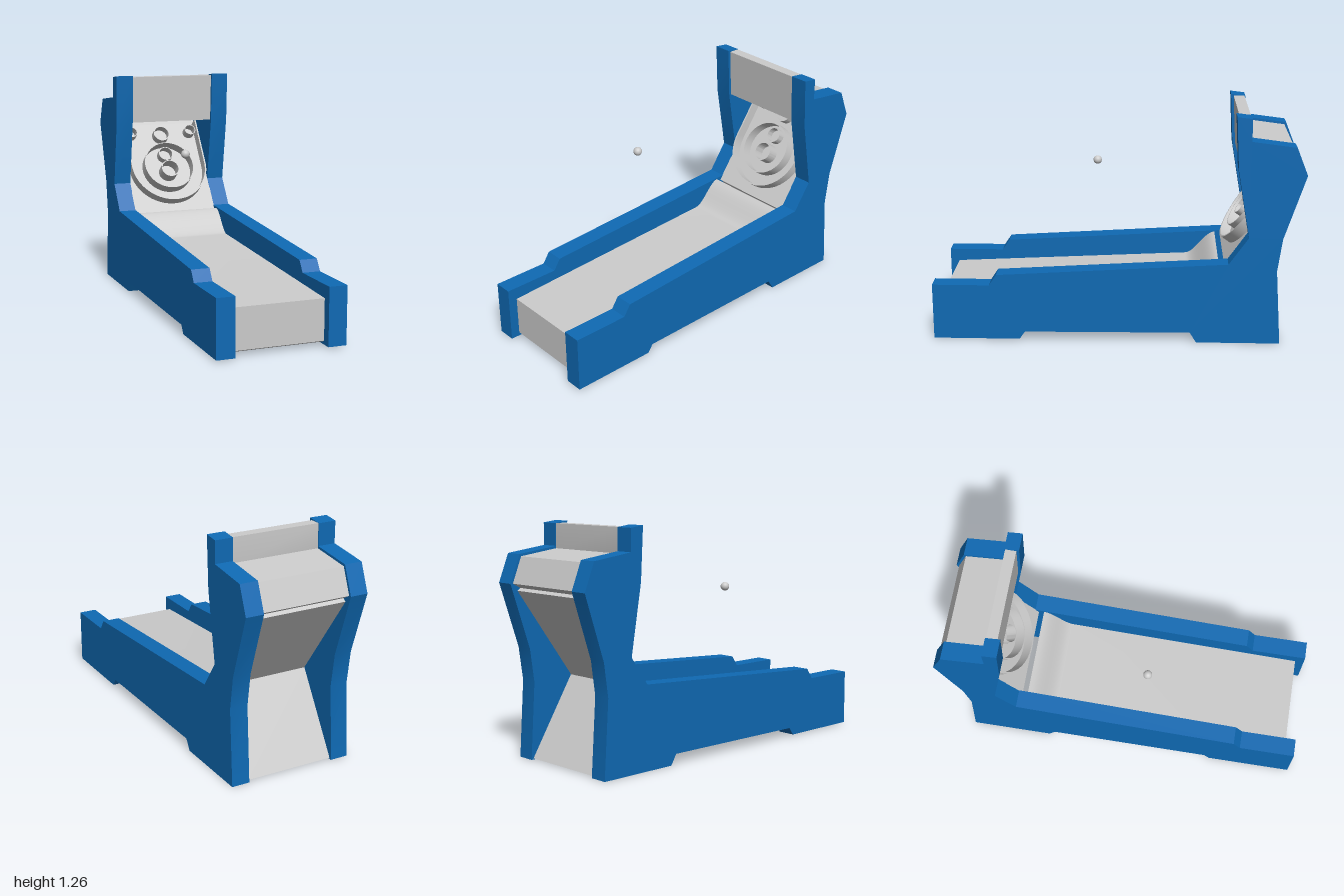
import * as THREE from 'three';
import { toCreasedNormals } from 'three/addons/utils/BufferGeometryUtils.js';

const grey = new THREE.MeshStandardMaterial({ color: 0xcccccc, side: THREE.DoubleSide });
const blue = new THREE.MeshStandardMaterial({ color: 0x0f6ab4 });

const toShape = (pts) => new THREE.Shape(pts.map(([a, b]) => new THREE.Vector2(a, b)));

function addMesh(parent, name, geometry, material) {
  const mesh = new THREE.Mesh(geometry, material);
  mesh.name = name;
  parent.add(mesh);
  return mesh;
}

// Extrudes a (z, y) outline across the width from x0 to x1
function acrossX(pts, x0, x1) {
  const g = new THREE.ExtrudeGeometry(toShape(pts), { depth: x1 - x0, bevelEnabled: false });
  g.rotateY(-Math.PI / 2).translate(x1, 0, 0);
  return toCreasedNormals(g, 0.5);
}

// Extrudes a shape drawn on the target board outwards by height
function raised(shape, height) {
  const g = new THREE.ExtrudeGeometry(shape, { depth: height + 0.01, bevelEnabled: false, curveSegments: 32 });
  return toCreasedNormals(g.translate(0, 0, -0.01), 0.5);
}

function ringShape(radius, wall) {
  const s = new THREE.Shape().absarc(0, 0, radius, 0, Math.PI * 2, false);
  s.holes.push(new THREE.Path().absarc(0, 0, radius - wall, 0, Math.PI * 2, true));
  return s;
}

export function createModel() {
  const model = new THREE.Group();
  model.name = 'ballRollMachine';
  const W = 0.252;

  // Side panels
  const sideOutline = [
    [1, 0.01], [1, 0.32], [0.69, 0.32], [0.65, 0.38], [-0.6, 0.455], [-0.705, 0.605],
    [-0.64, 0.98], [-0.625, 1.26], [-0.705, 1.25], [-0.705, 1.13], [-0.94, 1.1], [-1, 0.95],
    [-0.885, 0.6], [-0.86, 0.42], [-0.888, 0.003], [-0.435, 0.003], [-0.4, 0.06], [0.5, 0.053], [0.53, 0.01],
  ];
  addMesh(model, 'leftSidePanel', acrossX(sideOutline, 0.25, 0.35), blue);
  addMesh(model, 'rightSidePanel', acrossX(sideOutline, -0.35, -0.25), blue);

  // Lane with a curved jump at its far end
  const top = [[0.95, 0.25]];
  const steps = 16;
  for (let i = 0; i <= steps; i++) {
    const t = i / steps;
    top.push([-0.38 - 0.17 * t, 0.315 + 0.13 * t * t * (3 - 2 * t)]);
  }
  const underside = top.slice(1).reverse().map(([z, y]) => [z + 0.006, y - 0.018]);
  const lane = [...top, ...underside, [0.93, 0.233], [0.93, 0.02], [0.95, 0.03]];
  addMesh(model, 'lane', acrossX(lane, -W, W), grey);

  // Sloping panel closing the lower back
  addMesh(model, 'lowerBackPanel', acrossX(
    [[-0.875, 0.01], [-0.615, 0.43], [-0.59, 0.43], [-0.85, 0.01]], -W, W), grey);

  // Hood over the targets and the sign at its front
  addMesh(model, 'hood', acrossX([
    [-0.985, 0.95], [-0.93, 1.088], [-0.7, 1.118], [-0.7, 1.1], [-0.918, 1.072], [-0.965, 0.95], [-0.94, 0.925],
  ], -W, W), grey);
  addMesh(model, 'sign', acrossX([
    [-0.655, 0.978], [-0.64, 1.25], [-0.7, 1.25], [-0.702, 1.1], [-0.675, 0.978],
  ], -W, W), grey);

  // Tilted target board; local y runs up the board, local z points out of it
  const tilt = 0.619;
  const board = new THREE.Group();
  board.name = 'targetBoard';
  board.position.set(0, 0.43, -0.581);
  board.rotation.x = -tilt;
  model.add(board);
  const up = (y) => (y - 0.43) / Math.cos(tilt);

  const slab = toShape([[-W, 0], [W, 0], [W, up(0.927)], [-W, up(0.927)]]);
  const slabGeometry = new THREE.ExtrudeGeometry(slab, { depth: 0.027, bevelEnabled: false });
  addMesh(board, 'boardPanel', slabGeometry.translate(0, 0, -0.027), grey);

  // U-shaped rail around the targets
  const railY = up(0.672);
  const railTop = up(0.92);
  const rail = new THREE.Shape();
  rail.moveTo(-0.238, railTop);
  rail.lineTo(-0.238, railY);
  rail.absarc(0, railY, 0.238, Math.PI, Math.PI * 2, false);
  rail.lineTo(0.238, railTop);
  rail.lineTo(0.229, railTop);
  rail.lineTo(0.229, railY);
  rail.absarc(0, railY, 0.229, Math.PI * 2, Math.PI, true);
  rail.lineTo(-0.229, railTop);
  addMesh(board, 'outerRail', raised(rail, 0.06), grey);

  // Target rings: name, x, base height, radius, depth
  const rings = [
    ['largeRing', 0, 0.668, 0.155, 0.065],
    ['lowerCup', 0, 0.647, 0.055, 0.07],
    ['middleCup', 0, 0.74, 0.045, 0.045],
    ['topCup', 0, 0.855, 0.05, 0.045],
    ['leftCup', 0.19, 0.868, 0.035, 0.05],
    ['rightCup', -0.19, 0.868, 0.035, 0.05],
  ];
  for (const [name, x, y, radius, depth] of rings) {
    addMesh(board, name, raised(ringShape(radius, 0.005), depth), grey).position.set(x, up(y), 0);
  }

  // Ball in flight
  addMesh(model, 'ball', new THREE.SphereGeometry(0.024, 24, 16), grey).position.set(-0.19, 0.888, 0.125);

  return model;
}
